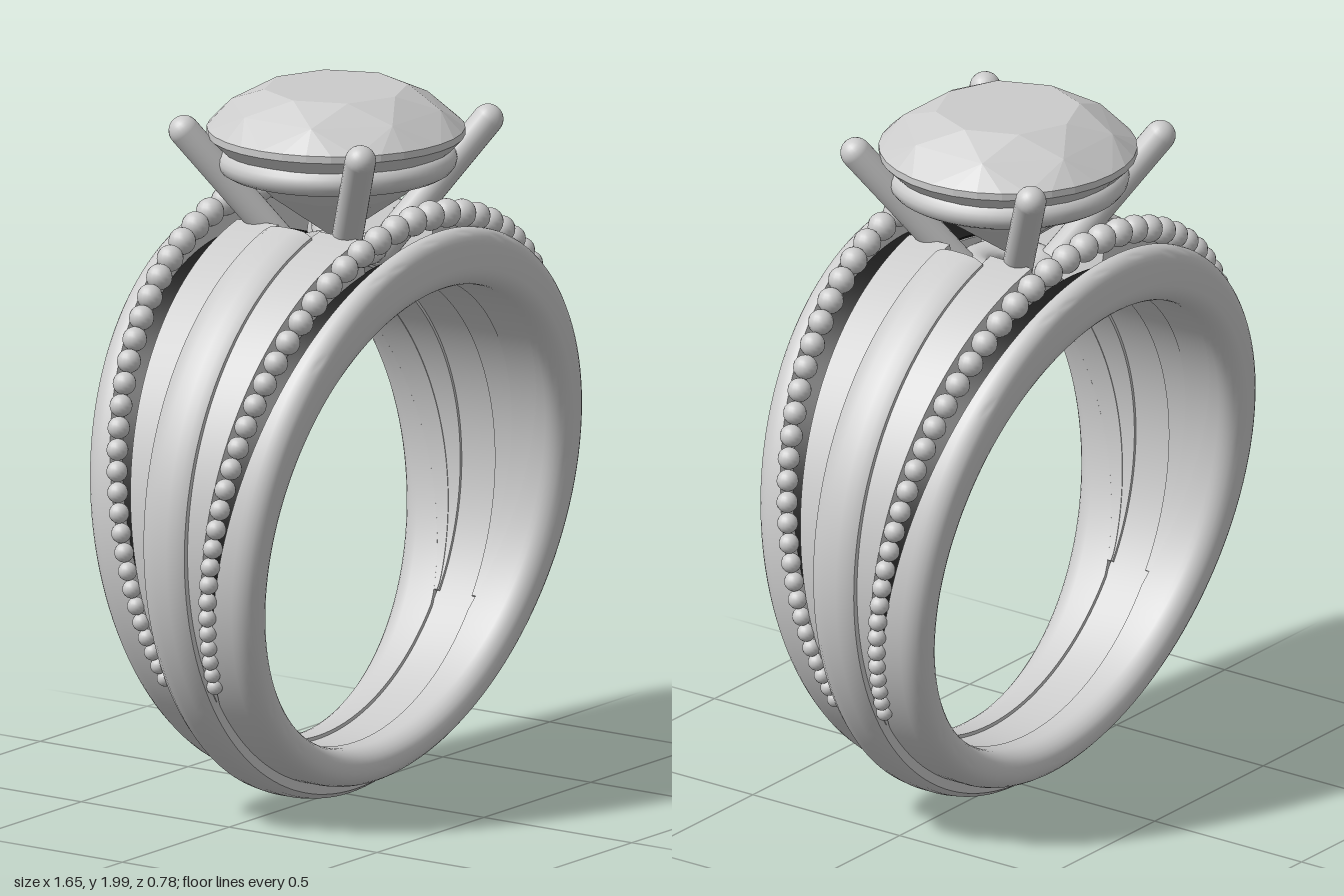
import * as THREE from 'three';
import { toCreasedNormals } from 'three/addons/utils/BufferGeometryUtils.js';
import { ConvexGeometry } from 'three/addons/geometries/ConvexGeometry.js';

const CY = 0.82; // height of the finger-hole centre
const metal = new THREE.MeshStandardMaterial({ color: 0xcccccc });
const dark = new THREE.MeshStandardMaterial({ color: 0x1a1a1a });

// Rules along the ring: a = 0 at the bottom, PI at the top
const rise = (a) => ((1 - Math.cos(a)) / 2) ** 2;
const heightAt = (a) => CY - 0.8 * Math.cos(a);
const ramp = (y, y0, y1, v0, v1) => THREE.MathUtils.mapLinear(THREE.MathUtils.clamp(y, y0, y1), y0, y1, v0, v1);
const bandHalf = (a) => 0.065 + 0.015 * rise(a);
const panelEdge = (a) => Math.max(bandHalf(a) + 0.002, ramp(heightAt(a), 0.4, 1.62, 0.066, 0.21));
const railInner = (a) => ramp(heightAt(a), 0.35, 1.62, 0.062, 0.345);
const railOuter = (a) => ramp(heightAt(a), 0.03, 1.62, 0.165, 0.39);

// Sweeps a [radius, z] section, which may change with the angle, around the ring
function sweep(section, a0, a1, side = 1, steps = 128) {
  const pos = [], idx = [];
  const n = section(a0).length;
  for (let j = 0; j <= steps; j++) {
    const a = a0 + ((a1 - a0) * j) / steps;
    const pts = section(a).map(([r, z]) => [r, z * side]);
    if (side < 0) pts.reverse();
    for (const [r, z] of pts) pos.push(r * Math.sin(a), CY - r * Math.cos(a), z);
  }
  for (let j = 0; j < steps; j++) {
    for (let i = 0; i < n; i++) {
      const p = j * n + i, q = j * n + ((i + 1) % n);
      idx.push(p, p + n, q, q, p + n, q + n);
    }
  }
  // End caps for partial sweeps
  if (a1 - a0 < Math.PI * 2 - 0.001) {
    const e = steps * n;
    for (let i = 1; i < n - 1; i++) idx.push(0, i, i + 1, e, e + i + 1, e + i);
  }
  const g = new THREE.BufferGeometry();
  g.setAttribute('position', new THREE.Float32BufferAttribute(pos, 3));
  g.setIndex(idx);
  return toCreasedNormals(g, 0.6);
}

// Sections
const bandSection = (a) => {
  const b = 0.81 + 0.05 * rise(a), h = bandHalf(a);
  return [[b - 0.018, -h], [b - 0.004, -h * 0.7], [b, -h * 0.3], [b, h * 0.3], [b - 0.004, h * 0.7], [b - 0.018, h], [0.67, h], [0.67, -h]];
};
const panelSection = (a) => {
  const b = 0.775 + 0.06 * rise(a), z0 = bandHalf(a) - 0.01, z1 = panelEdge(a);
  return [[b, z0], [b - 0.005, z1], [0.662, z1], [0.662, z0]];
};
const channelSection = (a) => {
  const z0 = panelEdge(a) - 0.008, z1 = railInner(a) + 0.004;
  return [[0.72, z0], [0.72, z1], [0.66, z1], [0.66, z0]];
};
const floorSection = (a) => {
  const z0 = panelEdge(a) - 0.005, z1 = railInner(a) + 0.003;
  return [[0.727, z0], [0.727, z1], [0.722, z1], [0.722, z0]];
};
const railSection = (a) => {
  const b = 0.765 + 0.055 * rise(a), z0 = railInner(a), z1 = railOuter(a), w = z1 - z0;
  const e = Math.min(0.06, w * 0.85), pts = [[b, z0]];
  for (let k = 0; k <= 6; k++) {
    const t = (k / 6) * Math.PI / 2;
    pts.push([b - 0.045 * (1 - Math.cos(t)), z1 - e + e * Math.sin(t)]);
  }
  for (let k = 0; k <= 6; k++) {
    const t = (k / 6) * Math.PI / 2;
    pts.push([0.71 - 0.05 * Math.sin(t), z1 - e + e * Math.cos(t)]);
  }
  pts.push([0.66, z0]);
  return pts;
};

export function createModel() {
  const ring = new THREE.Group();
  ring.name = 'ring';
  const add = (name, geometry, material = metal, parent = ring) => {
    const m = new THREE.Mesh(geometry, material);
    m.name = name;
    parent.add(m);
    return m;
  };
  const PI = Math.PI, start = 1.0;

  // Shank, open under the stone
  add('centreBand', sweep(bandSection, PI + 0.27, 3 * PI - 0.27));
  for (const s of [1, -1]) {
    add('sideRail', sweep(railSection, 0, 2 * PI, s));
    add('channel', sweep(channelSection, start, 2 * PI - start, s));
    add('channelFloor', sweep(floorSection, start, 2 * PI - start, s), dark);
    add('panel', sweep(panelSection, start, PI - 0.21, s, 64));
    add('panel', sweep(panelSection, PI + 0.21, 2 * PI - start, s, 64));
  }

  // Graduated bead rows, walked from the top down both flanks
  const beads = new THREE.Group();
  beads.name = 'beadRows';
  ring.add(beads);
  const ball = new THREE.SphereGeometry(1, 16, 12);
  let fromTop = 0.048;
  while (fromTop < 2.1) {
    const a = PI - fromTop;
    const size = 0.042 - 0.0095 * fromTop;
    const r = 0.77 + 0.08 * rise(a);
    const y = CY - r * Math.cos(a);
    const z = ramp(y, 0.43, 1.67, 0.08, 0.288);
    for (const sx of [1, -1]) {
      for (const sz of [1, -1]) {
        const bead = add('bead', ball, metal, beads);
        bead.position.set(sx * r * Math.sin(a), y, sz * z);
        bead.scale.setScalar(size);
      }
    }
    fromTop += (1.93 * size) / r;
  }

  // Four prongs rising from the base ring
  const setting = new THREE.Group();
  setting.name = 'setting';
  ring.add(setting);
  for (const sx of [1, -1]) {
    for (const sz of [1, -1]) {
      const p0 = new THREE.Vector3(sx * 0.09, 1.54, sz * 0.09);
      const p1 = new THREE.Vector3(sx * 0.298, 1.892, sz * 0.298);
      const dir = p1.clone().sub(p0);
      const prong = add('prong', new THREE.CapsuleGeometry(0.043, dir.length(), 8, 20), metal, setting);
      prong.position.copy(p0).add(p1).multiplyScalar(0.5);
      prong.quaternion.setFromUnitVectors(new THREE.Vector3(0, 1, 0), dir.normalize());
    }
  }

  // Gallery ring under the girdle and small base ring
  const flatRing = (name, r, tube, y, squash) => {
    const g = new THREE.TorusGeometry(r, tube, 16, 64).rotateX(PI / 2).scale(1, squash, 1);
    add(name, g, metal, setting).position.y = y;
  };
  flatRing('galleryRing', 0.288, 0.045, 1.8, 0.9);
  flatRing('baseRing', 0.095, 0.045, 1.54, 0.7);

  // Faceted round stone
  const pts = [];
  const circle = (n, r, y, turn = 0) => {
    for (let i = 0; i < n; i++) {
      const t = ((i + turn) / n) * 2 * PI;
      pts.push(new THREE.Vector3(r * Math.cos(t), y, r * Math.sin(t)));
    }
  };
  circle(8, 0.2, 2.0);
  circle(8, 0.295, 1.95, 0.5);
  circle(32, 0.355, 1.888);
  circle(32, 0.355, 1.868);
  circle(8, 0.2, 1.71, 0.5);
  circle(1, 0, 1.57);
  add('stone', new ConvexGeometry(pts));

  return ring;
}
